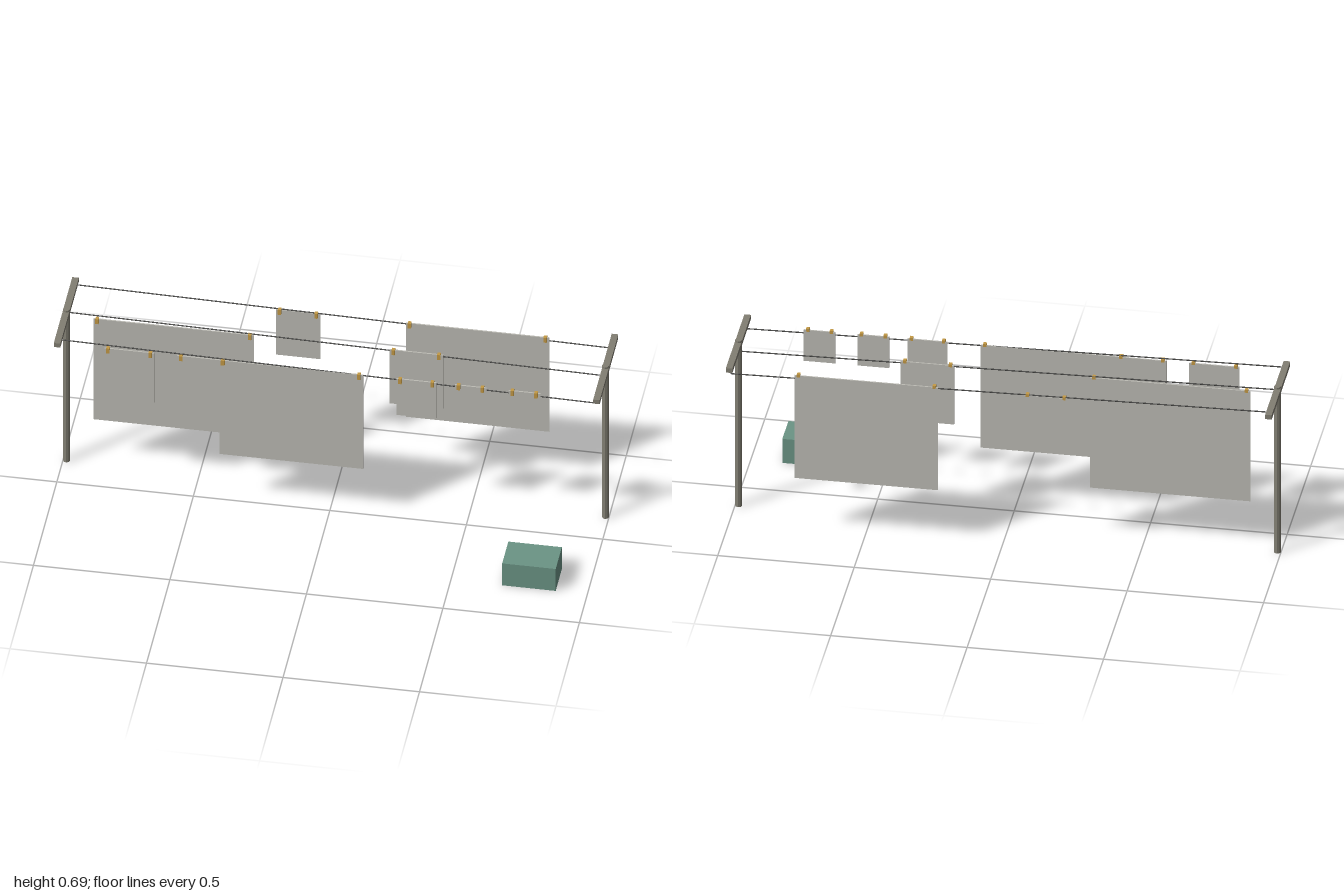
import * as THREE from 'three';

const material = (name, color) => {
  const m = new THREE.MeshStandardMaterial({ color });
  m.name = name;
  return m;
};

export function createModel() {
  const root = new THREE.Group();
  root.name = 'washingLine';
  const steel = material('weathered steel', 0x827f73);
  const cord = material('dark cord', 0x3a3a38);
  const cloth = material('pale cloth', 0xbdbcb5);
  const wood = material('peg wood', 0xc49a45);
  const teal = material('basket green', 0x6b9485);
  steel.flatShading = true;

  const add = (parent, name, geometry, mat, x, y, z) => {
    const mesh = new THREE.Mesh(geometry, mat);
    mesh.name = name;
    mesh.position.set(x, y, z);
    parent.add(mesh);
    return mesh;
  };
  // Box given by its two limits on each axis
  const box = (parent, name, mat, x0, x1, y0, y1, z0, z1) =>
    add(parent, name, new THREE.BoxGeometry(x1 - x0, y1 - y0, z1 - z0), mat,
      (x0 + x1) / 2, (y0 + y1) / 2, (z0 + z1) / 2);

  // T-shaped end posts
  for (const side of [-1, 1]) {
    const end = new THREE.Group();
    end.name = side > 0 ? 'leftEndPost' : 'rightEndPost';
    root.add(end);
    const post = new THREE.CylinderGeometry(0.0125, 0.0125, 0.691, 8);
    add(end, 'post', post, steel, side * 0.987, 0.3455, -0.131);
    add(end, 'crossbar', new THREE.BoxGeometry(0.024, 0.018, 0.395), steel, side * 0.988, 0.675, -0.1315);
  }

  // A peg: long front prong and short rear prong gripping the cord
  const addPeg = (row, x, z) => {
    const peg = new THREE.Group();
    peg.name = 'peg';
    peg.position.set(x, 0, z);
    row.add(peg);
    box(peg, 'frontProng', wood, -0.006, 0.006, 0.645, 0.667, 0.003, 0.011);
    box(peg, 'rearProng', wood, -0.006, 0.006, 0.655, 0.667, -0.004, 0.003);
  };

  // Each row has a sloping cord and cloths as [xMin, xMax, bottom]
  const clothTop = 0.661;
  const rows = [
    { name: 'frontRow', z: 0.0335, cloths: [
      [-0.82, -0.636, 0.433], [-0.553, -0.371, 0.433], [-0.398, 0.128, 0.234],
      [0.25, 0.397, 0.497], [0.464, 0.58, 0.532], [0.661, 0.777, 0.532]] },
    { name: 'middleRow', z: -0.131, cloths: [[-0.888, -0.3, 0.203], [0.197, 0.393, 0.417]] },
    { name: 'backRow', z: -0.296, cloths: [[-0.248, -0.085, 0.456], [0.228, 0.754, 0.234]] },
  ];
  for (const { name, z, cloths } of rows) {
    const row = new THREE.Group();
    row.name = name;
    root.add(row);
    const path = new THREE.LineCurve3(new THREE.Vector3(-0.988, 0.677, z), new THREE.Vector3(0.988, 0.644, z));
    add(row, 'cord', new THREE.TubeGeometry(path, 1, 0.0022, 6), cord, 0, 0, 0);
    cloths.forEach(([x0, x1, bottom], i) => {
      // Overlapping neighbours sit a hair apart in depth
      const shift = i === 1 ? -0.0005 : 0;
      box(row, 'cloth', cloth, x0, x1, bottom, clothTop, z - 0.0027 + shift, z + 0.0027 + shift);
      addPeg(row, x0 + 0.014, z);
      addPeg(row, x1 - 0.015, z);
    });
  }

  // Laundry basket on the ground
  box(root, 'basket', teal, 0.688, 0.884, 0, 0.1, 0.199, 0.33);
  return root;
}
